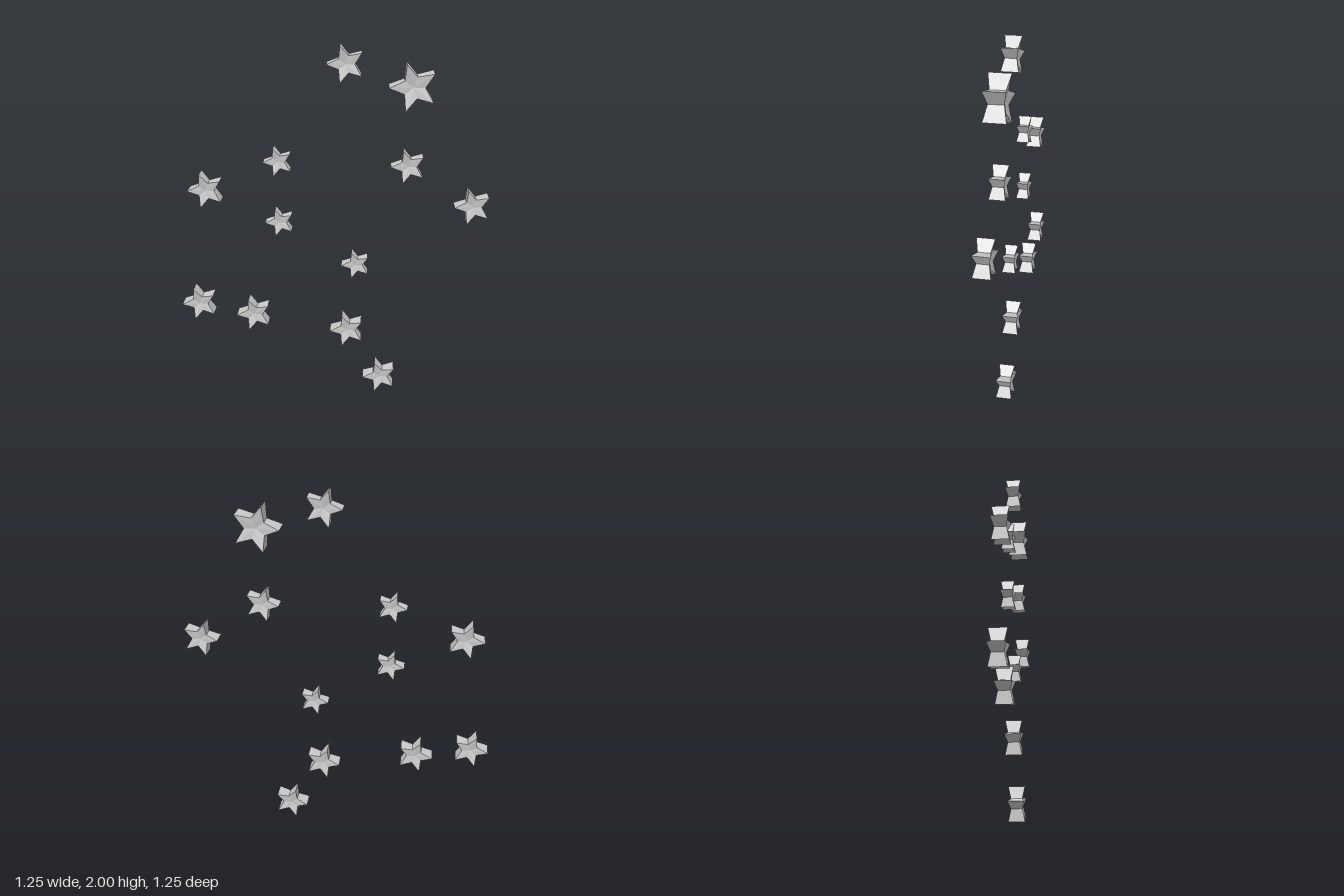
import * as THREE from 'three';

// Five-pointed star of unit radius: thick at the tips, dished towards the centre
function starGeometry() {
  const innerRadius = 0.46, tipHalf = 0.45, innerHalf = 0.31, centreHalf = 0.25;
  const pos = [];
  const ring = (i, side) => {
    const tip = i % 2 === 0, r = tip ? 1 : innerRadius, a = (i * Math.PI) / 5;
    return [r * Math.cos(a), r * Math.sin(a), side * (tip ? tipHalf : innerHalf)];
  };
  const tri = (a, b, c) => pos.push(...a, ...b, ...c);
  for (let i = 0; i < 10; i++) {
    const f0 = ring(i, 1), f1 = ring(i + 1, 1), b0 = ring(i, -1), b1 = ring(i + 1, -1);
    tri([0, 0, centreHalf], f0, f1);
    tri([0, 0, -centreHalf], b1, b0);
    tri(f0, b0, b1);
    tri(f0, b1, f1);
  }
  const geo = new THREE.BufferGeometry();
  geo.setAttribute('position', new THREE.Float32BufferAttribute(pos, 3));
  geo.computeVertexNormals();
  return geo;
}

// Position along the diagonal (x = z), height, radius
const STARS = [
  [0.052, 1.907, 0.098],
  [0.294, 1.794, 0.125],
  [0.286, 1.376, 0.092],
  [0.533, 1.157, 0.098],
  [-0.198, 1.391, 0.079],
  [-0.474, 1.228, 0.098],
  [-0.196, 1.05, 0.079],
  [0.096, 0.805, 0.08],
  [-0.525, 0.549, 0.098],
  [-0.308, 0.487, 0.098],
  [0.065, 0.397, 0.098],
  [0.2, 0.094, 0.098],
];

export function createModel() {
  const group = new THREE.Group();
  group.name = 'starCluster';
  const geo = starGeometry();
  const mat = new THREE.MeshStandardMaterial({ color: 0xcccccc, flatShading: true });
  // All stars stand upright in one diagonal plane, single tip to the back right
  STARS.forEach(([d, y, r], i) => {
    const star = new THREE.Mesh(geo, mat);
    star.name = `star${i + 1}`;
    star.position.set(d, y, d);
    star.rotation.y = (3 * Math.PI) / 4;
    star.scale.setScalar(r);
    group.add(star);
  });
  return group;
}
